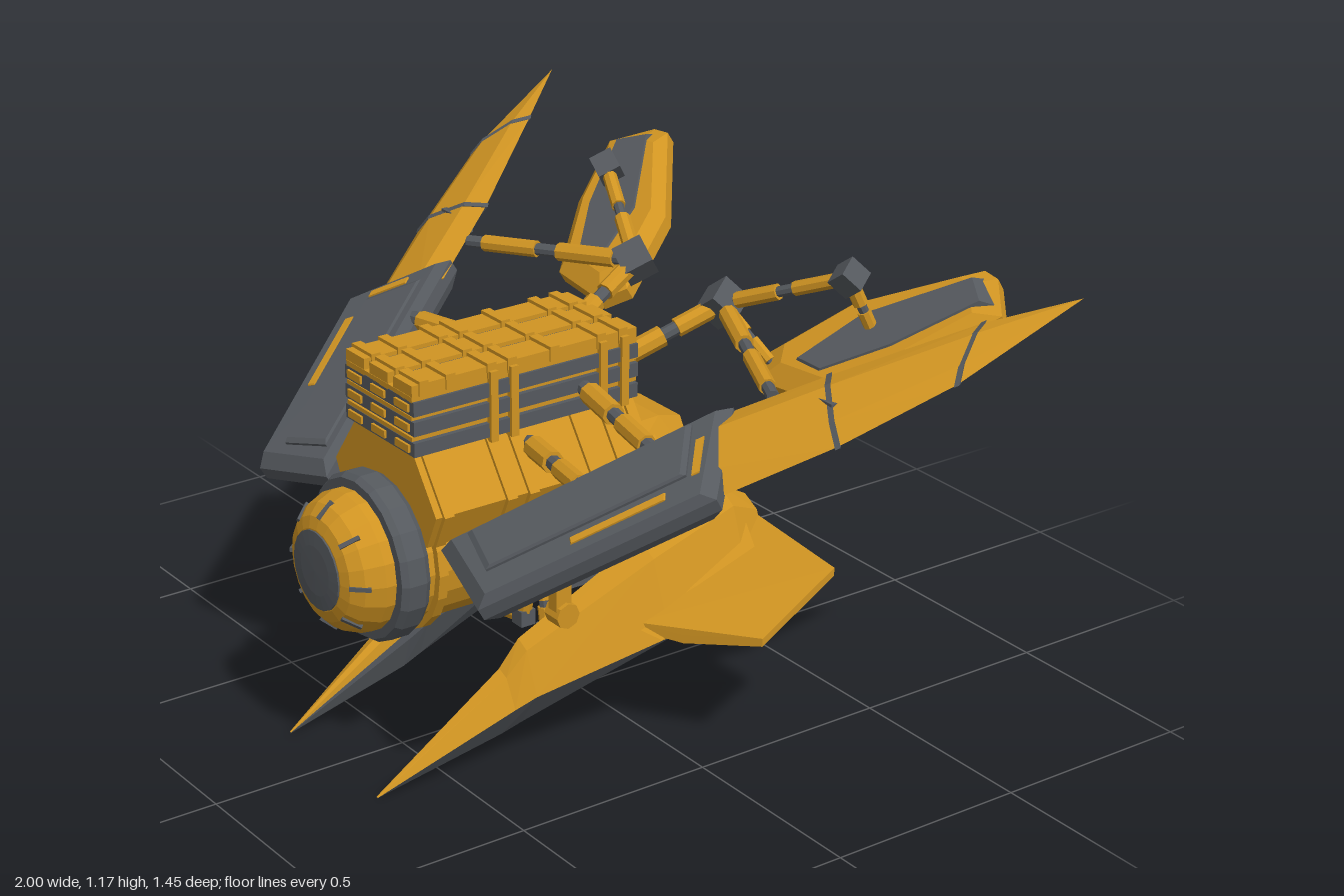
import * as THREE from 'three';
import { ConvexGeometry } from 'three/addons/geometries/ConvexGeometry.js';

const V = (x, y, z) => new THREE.Vector3(x, y, z);

export function createModel() {
  const gold = new THREE.MeshStandardMaterial({ color: 0xd09422, flatShading: true });
  gold.name = 'gold';
  const grey = new THREE.MeshStandardMaterial({ color: 0x55595e, flatShading: true });
  grey.name = 'grey';
  const model = new THREE.Group();
  model.name = 'flyer';

  const add = (name, geo, mat, parent = model) => {
    const m = new THREE.Mesh(geo, mat);
    m.name = name;
    parent.add(m);
    return m;
  };
  const box = (name, mat, w, h, d, x, y, z, parent) => {
    const m = add(name, new THREE.BoxGeometry(w, h, d), mat, parent);
    m.position.set(x, y, z);
    return m;
  };
  const hull = (name, pts, mat, parent) => add(name, new ConvexGeometry(pts), mat, parent);

  // Chamfered plate over a flat convex outline
  const plate = (name, pts, t, inset, mat, parent, lift = 0) => {
    const n = pts[1].clone().sub(pts[0]).cross(pts[2].clone().sub(pts[0])).normalize();
    if (n.y < 0) n.negate();
    const c = pts.reduce((a, p) => a.add(p), V(0, 0, 0)).divideScalar(pts.length);
    const out = [];
    for (const p of pts) for (const s of [-1, 1]) {
      out.push(p.clone().addScaledVector(n, s * t * 0.2 + lift));
      out.push(p.clone().lerp(c, inset).addScaledVector(n, s * t * 0.5 + lift));
    }
    return hull(name, out, mat, parent);
  };

  // Rod between two points, with a thicker sleeve and collars
  const rod = (name, a, b, r, mat, parent) => {
    const m = add(name, new THREE.CylinderGeometry(r, r, a.distanceTo(b), 8), mat, parent);
    m.position.copy(a).lerp(b, 0.5);
    m.quaternion.setFromUnitVectors(V(0, 1, 0), b.clone().sub(a).normalize());
  };
  const strut = (name, a, b, r, parent) => {
    const at = (t) => a.clone().lerp(b, t);
    rod(name + 'Core', a, b, r, grey, parent);
    rod(name + 'Sleeve', at(0.12), at(0.45), r * 1.5, gold, parent);
    rod(name + 'Sleeve', at(0.58), at(0.9), r * 1.35, gold, parent);
  };
  const turned = (name, profile, mat, seg = 20) => {
    const g = new THREE.LatheGeometry(profile.map(([r, z]) => new THREE.Vector2(r, z)), seg);
    g.rotateX(Math.PI / 2);
    const m = add(name, g, mat);
    m.position.y = 0.51;
  };

  // Round body with domed tail, collar and nose
  turned('hull', [[0, -0.3], [0.09, -0.29], [0.15, -0.25], [0.185, -0.18], [0.19, -0.08], [0.175, 0], [0.175, 0.55]], gold);
  turned('collar', [[0.15, 0.535], [0.19, 0.535], [0.2, 0.55], [0.2, 0.595], [0.19, 0.61], [0.15, 0.61]], grey);
  turned('nose', [[0.168, 0.6], [0.168, 0.635], [0.15, 0.68], [0.125, 0.705], [0.098, 0.714], [0, 0.714]], gold);
  turned('noseLens', [[0.095, 0.71], [0.095, 0.718], [0.06, 0.721], [0, 0.722]], grey);
  for (const z of [0.5, -0.06, -0.13]) {
    turned('hullBand', [[0.17, z - 0.012], [0.193, z - 0.012], [0.193, z + 0.012], [0.17, z + 0.012]], gold);
  }
  for (let i = 0; i < 8; i++) {
    const a = (i / 8) * Math.PI * 2;
    const slit = box('noseSlit', grey, 0.01, 0.05, 0.01, Math.sin(a) * 0.14, 0.51 + Math.cos(a) * 0.14, 0.688);
    slit.rotation.order = 'ZXY';
    slit.rotation.set(-0.85, 0, -a);
  }
  // Rear deck above the tail
  hull('rearDeck', [-1, 1].flatMap((s) => [V(s * 0.1, 0.7, 0), V(s * 0.09, 0.7, -0.17), V(s * 0.08, 0.68, -0.24),
    V(s * 0.17, 0.6, 0), V(s * 0.15, 0.58, -0.235)]), gold);

  // Shouldered saddle and its raised ribs
  const saddle = (name, z0, z1, k, mat) => hull(name, [z0, z1].flatMap((z) => [-1, 1].flatMap((s) => [
    V(s * (0.12 + k), 0.79, z), V(s * (0.14 + k), 0.73, z), V(s * (0.21 + k), 0.665, z), V(s * (0.17 + k), 0.58, z)])), mat);
  saddle('saddle', -0.06, 0.53, 0, gold);
  for (const z of [0.5, 0.33, 0.27, 0.1, 0.02, -0.05]) saddle('saddleRib', z - 0.013, z + 0.013, 0.01, gold);

  // Layered rack: dark core, gold top bars and cross straps
  box('rackCore', grey, 0.25, 0.17, 0.58, 0, 0.865, 0.235);
  for (const y of [0.808, 0.858, 0.905]) {
    box('rackLayer', grey, 0.285, 0.034, 0.61, 0, y, 0.235);
    box('rackTrim', gold, 0.268, 0.01, 0.612, 0, y + 0.024, 0.235);
  }
  for (const x of [-0.098, 0, 0.098]) {
    box('topBar', gold, 0.076, 0.04, 0.61, x, 0.94, 0.235);
    for (const y of [0.808, 0.858, 0.905]) box('endCap', gold, 0.055, 0.018, 0.016, x, y, 0.538);
  }
  for (const z of [0.51, 0.44, 0.33, 0.275, 0.16, 0.03, -0.03]) {
    for (const x of [-0.098, 0, 0.098]) box('topStrap', gold, 0.084, 0.036, 0.024, x, 0.95, z);
  }
  for (const z of [0.33, 0.275, 0.03, -0.03]) box('sideStrap', gold, 0.3, 0.17, 0.02, 0, 0.865, z);

  for (const s of [1, -1]) {
    const P = (x, y, z) => V(s * x, y, z);
    const side = s > 0 ? 'left' : 'right';
    const group = (name) => {
      const g = new THREE.Group();
      g.name = side + name;
      model.add(g);
      return g;
    };

    // Upper wing: armoured base, raised panel, gold inlay
    const wing = group('Wing');
    const A = P(0.24, 0.59, 0.53), B = P(0.46, 0.545, 0.58), C = P(0.725, 0.79, 0.14), D = P(0.56, 0.905, -0.03);
    const on = (u, t) => A.clone().lerp(D, t).lerp(B.clone().lerp(C, t), u);
    const area = (u0, u1, t0, t1) => [on(u0, t0), on(u1, t0), on(u1, t1), on(u0, t1)];
    plate('wingArmour', [A, B, C, D], 0.085, 0.1, grey, wing);
    plate('wingPanel', area(0.1, 0.68, 0.1, 0.88), 0.02, 0.05, grey, wing, 0.045);
    plate('wingInlay', area(0.76, 0.84, 0.42, 0.8), 0.01, 0.02, gold, wing, 0.042);
    plate('wingInlay', area(0.3, 0.7, 0.9, 0.93), 0.01, 0.02, gold, wing, 0.042);

    // Blade in three tapering segments
    const n = P(0.126, 0.826, 0.551);
    const ring = (I, O, t) => [I, O, ...[0.25, 0.75].flatMap((f) => [-1, 1].map((k) =>
      I.clone().lerp(O, f).addScaledVector(n, k * t / 2)))];
    const stations = [
      ring(P(0.53, 0.89, 0.02), P(0.7, 0.795, 0.11), 0.06),
      ring(P(0.67, 0.99, -0.2), P(0.825, 0.9, -0.1), 0.052),
      ring(P(0.865, 1.115, -0.465), P(0.935, 1.025, -0.335), 0.032),
      [P(1, 1.178, -0.63)],
    ];
    for (let i = 0; i < 3; i++) hull('blade', [...stations[i], ...stations[i + 1]], gold, wing);
    for (const i of [1, 2]) {
      const c = stations[i].reduce((a, p) => a.add(p), V(0, 0, 0)).divideScalar(6);
      const step = P(0.004, 0.003, -0.004);
      hull('bladeSeam', stations[i].flatMap((p) => [-1, 1].map((k) =>
        p.clone().sub(c).multiplyScalar(1.06).add(c).addScaledVector(step, k))), grey, wing);
    }
    // Bracket and fitting beneath the wing
    box('wingBracket', grey, 0.05, 0.06, 0.06, s * 0.74, 0.94, -0.29 + 0.13, wing);
    box('hangerArm', gold, 0.03, 0.1, 0.04, s * 0.5, 0.57, 0.4, wing);
    rod('hangerPin', P(0.475, 0.515, 0.395), P(0.525, 0.515, 0.395), 0.03, gold, wing);

    // Rear pod with dark spine on both faces
    const pod = group('Pod');
    const outline = [[0.6, -0.715], [0.65, -0.71], [0.745, -0.64], [0.65, -0.475], [0.5, -0.31], [0.31, -0.295], [0.265, -0.345], [0.36, -0.53]];
    const Q = (x, z) => P(x, 0.825 + (-0.3 - z) * 0.63, z);
    plate('podShell', outline.map(([x, z]) => Q(x, z)), 0.085, 0.22, gold, pod);
    const spine = [[0.63, -0.7], [0.71, -0.655], [0.585, -0.47], [0.46, -0.345], [0.37, -0.345], [0.43, -0.51]];
    plate('podSpine', spine.map(([x, z]) => Q(x, z)), 0.096, 0.12, grey, pod);

    // Jointed arms carrying the pod and wing
    const arms = group('Arms');
    const J = P(0.17, 0.98, -0.29), K = P(0.465, 1.105, -0.42);
    for (const [name, p, d] of [['shoulderJoint', J, 0.075], ['elbowJoint', K, 0.058]]) {
      const j = box(name, grey, d, d, d, p.x, p.y, p.z, arms);
      j.rotation.set(0.5, s * 0.4, s * 0.5);
    }
    strut('rackArm', P(0.1, 0.87, -0.03), J, 0.017, arms);
    strut('podArm', J, K, 0.013, arms);
    strut('podLink', K, P(0.49, 0.96, -0.48), 0.012, arms);
    strut('podBrace', J, P(0.32, 0.86, -0.33), 0.011, arms);
    strut('wingArmRear', J, P(0.6, 0.94, -0.1), 0.015, arms);
    strut('wingArmMiddle', P(0.13, 0.85, 0.08), P(0.49, 0.83, 0.14), 0.018, arms);
    strut('wingArmFront', P(0.13, 0.75, 0.23), P(0.44, 0.76, 0.29), 0.018, arms);

    // Lower prong: gold upper shell over a dark keel
    const prong = group('Prong');
    // z, top, seam, bottom, inner x, ridge x, outer x
    const cuts = [
      [0.69, 0.008, 0.006, 0.003, 0.187, 0.19, 0.193],
      [0.36, 0.24, 0.16, 0.075, 0.178, 0.2, 0.265],
      [0.31, 0.305, 0.185, 0.092, 0.178, 0.205, 0.28],
      [0.0, 0.488, 0.285, 0.185, 0.18, 0.25, 0.37],
      [-0.21, 0.58, 0.35, 0.3, 0.175, 0.27, 0.4],
      [-0.29, 0.535, 0.375, 0.35, 0.19, 0.27, 0.37],
    ];
    const shell = ([z, t, m, b, xi, xr, xo]) => [P(xi, m + (t - m) * 0.3, z), P(xi + (xr - xi) * 0.3, m + (t - m) * 0.75, z),
      P(xr, t, z), P(xr + (xo - xr) * 0.45, m + (t - m) * 0.85, z), P(xo, m, z)];
    const keel = ([z, t, m, b, xi, xr, xo]) => [P(xi, m + (t - m) * 0.3, z), P(xo, m, z),
      P(xi, m, z), P(xi + (xo - xi) * 0.35, b, z)];
    for (let i = 0; i < cuts.length - 1; i++) {
      hull('prongShell', [...shell(cuts[i]), ...shell(cuts[i + 1])], gold, prong);
      hull('prongKeel', [...keel(cuts[i]), ...keel(cuts[i + 1])], grey, prong);
    }
    // Side fin and its root fairing
    hull('sideFin', [[0.32, 0.31, 0.06], [0.3, 0.49, -0.29], [0.59, 0.455, -0.3], [0.585, 0.33, -0.1], [0.42, 0.3, 0.0]]
      .flatMap(([x, y, z]) => [P(x, y + 0.01, z), P(x, y - 0.01, z)]), gold, prong);
    hull('finFairing', [P(0.25, 0.34, 0.12), P(0.38, 0.29, 0.03), P(0.43, 0.42, -0.22), P(0.3, 0.53, -0.25), P(0.35, 0.3, -0.2)], gold, prong);

    // Side panel and links from the body to the prong
    box('sidePanel', grey, 0.05, 0.12, 0.27, s * 0.165, 0.44, 0.12);
    const links = group('Links');
    const knee = P(0.05, 0.205, 0.12);
    strut('dropLink', P(0.025, 0.35, 0.12), knee, 0.014, links);
    strut('prongLink', knee, P(0.2, 0.18, 0.12), 0.013, links);
    box('kneeJoint', grey, 0.04, 0.04, 0.04, knee.x, knee.y, knee.z, links);
    strut('crossLink', P(0, 0.325, -0.03), P(0.2, 0.32, -0.03), 0.011, links);
  }
  return model;
}
